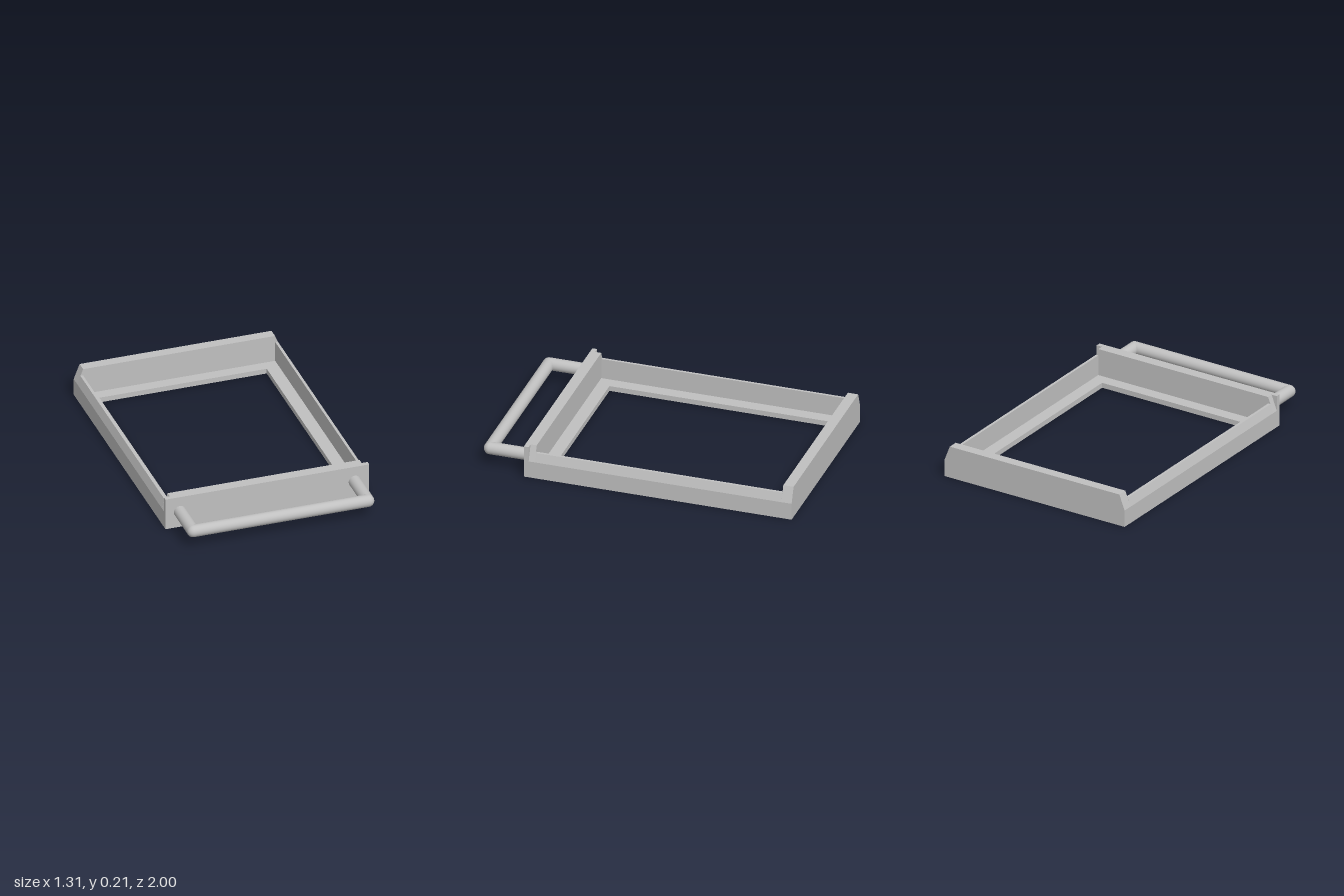
import * as THREE from 'three';

// Main dimensions
const HALF = 0.654, BEVEL_Y = 0.11, TOP_X = 0.616, TOP_Y = 0.208;
const RAIL_X = 0.634, RAIL_Y = 0.165, INNER_X = 0.617, FLOOR_Y = 0.033;
const BACK = -1, BACK_IN = -0.934, FRONT_IN = 0.645, PLATE_IN = 0.684, FRONT = 0.715;

const shapeOf = (pts) => new THREE.Shape(pts.map(([x, y]) => new THREE.Vector2(x, y)));

// Extrudes an xy profile between two z positions
function alongZ(pts, z0, z1) {
  const g = new THREE.ExtrudeGeometry(shapeOf(pts), { depth: z1 - z0, bevelEnabled: false });
  return g.translate(0, 0, z0);
}

export function createModel() {
  const model = new THREE.Group();
  model.name = 'slidingTray';
  const metal = new THREE.MeshStandardMaterial({ color: 0xc0c0c0 });
  metal.name = 'light grey';
  const add = (name, geometry, parent = model) => {
    const mesh = new THREE.Mesh(geometry, metal);
    mesh.name = name;
    parent.add(mesh);
    return mesh;
  };

  // Front and back walls with sloped upper corners
  const wall = [[-HALF, 0], [HALF, 0], [HALF, BEVEL_Y], [TOP_X, TOP_Y], [-TOP_X, TOP_Y], [-HALF, BEVEL_Y]];
  add('backWall', alongZ(wall, BACK, BACK_IN));
  add('frontInnerWall', alongZ(wall, FRONT_IN, PLATE_IN));

  // Square front plate
  add('frontPlate', new THREE.BoxGeometry(2 * HALF, TOP_Y, FRONT - PLATE_IN)
    .translate(0, TOP_Y / 2, (FRONT + PLATE_IN) / 2));

  // Lower side rails, following the same slope
  for (const [name, s] of [['leftRail', 1], ['rightRail', -1]]) {
    const rail = [[INNER_X, 0], [HALF, 0], [HALF, BEVEL_Y], [RAIL_X, RAIL_Y], [INNER_X, RAIL_Y]];
    add(name, alongZ(rail.map(([x, y]) => [s * x, y]), BACK_IN, FRONT_IN));
  }

  // Supporting ledge around the open middle
  const ledge = shapeOf([[-INNER_X, -FRONT_IN], [INNER_X, -FRONT_IN], [INNER_X, -BACK_IN], [-INNER_X, -BACK_IN]]);
  const hx = 0.537, hz0 = -0.86, hz1 = 0.566;
  ledge.holes.push(shapeOf([[-hx, -hz1], [-hx, -hz0], [hx, -hz0], [hx, -hz1]]));
  add('ledge', new THREE.ExtrudeGeometry(ledge, { depth: FLOOR_Y, bevelEnabled: false }).rotateX(-Math.PI / 2));

  // Round pull handle with ball corners
  const handle = new THREE.Group();
  handle.name = 'handle';
  model.add(handle);
  const r = 0.039, x = HALF - 0.093, y = 0.107, z = 1 - r, arm = z - FRONT + 0.01;
  add('handleBar', new THREE.CylinderGeometry(r, r, 2 * x, 32, 1, true)
    .rotateZ(Math.PI / 2).translate(0, y, z), handle);
  for (const s of [1, -1]) {
    const side = s > 0 ? 'left' : 'right';
    add(side + 'HandleArm', new THREE.CylinderGeometry(r, r, arm, 32, 1, true)
      .rotateX(Math.PI / 2).translate(s * x, y, z - arm / 2), handle);
    add(side + 'HandleCorner', new THREE.SphereGeometry(r, 32, 20).translate(s * x, y, z), handle);
  }
  return model;
}
